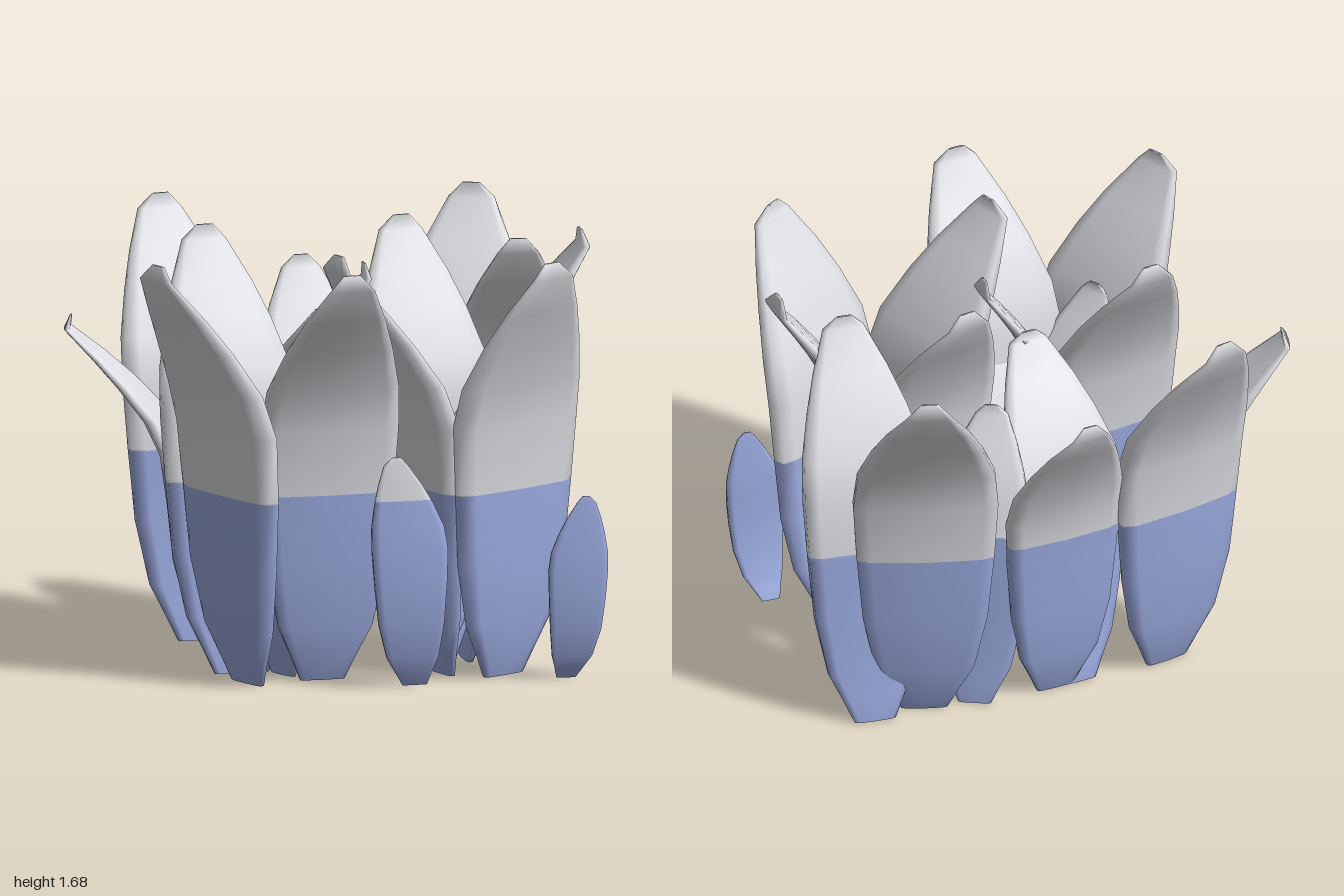
import * as THREE from 'three';
import { mergeVertices } from 'three/addons/utils/BufferGeometryUtils.js';

const SPLIT = 0.75; // height where the blue base changes to the pale tip

// profile over relative height: [u, half-width factor, lean to tip, pull to base]
const PROFILE = [
  [0, 0.32, 0, 1], [0.06, 0.48, 0, 0.75], [0.13, 0.68, 0, 0.48], [0.28, 0.86, 0, 0.17],
  [0.45, 0.95, 0, 0.03], [0.6, 1, 0.05, 0], [0.7, 0.95, 0.2, 0], [0.8, 0.77, 0.46, 0],
  [0.88, 0.58, 0.7, 0], [0.965, 0.32, 0.98, 0], [1, 0.12, 0.95, 0],
];

// cross-section of a slab with rounded faces and upright rims: [across, out]
const SECTION = [
  [-1, -0.45], [-1, 0.45], [-0.8, 0.82], [0, 1], [0.8, 0.82], [1, 0.45],
  [1, -0.45], [0.8, -0.78], [0, -0.9], [-0.8, -0.78], [-1, -0.45],
];

function sample(u) {
  let i = 1;
  while (i < PROFILE.length - 1 && PROFILE[i][0] < u) i++;
  const a = PROFILE[i - 1], b = PROFILE[i];
  const t = (u - a[0]) / (b[0] - a[0]);
  return a.map((v, k) => v + (b[k] - v) * t);
}

// a, b: ends of the widest line [x, z]; tip [x, z]; optional foot [x, z]
function makePetal(name, materials, { a, b, tip, height, foot, thick = 0.1 }) {
  const mid = [(a[0] + b[0]) / 2, (a[1] + b[1]) / 2];
  const lean = [tip[0] - mid[0], tip[1] - mid[1]];
  const base = foot || [mid[0] - 0.23 * lean[0], mid[1] - 0.23 * lean[1]];
  const pull = [base[0] - mid[0], base[1] - mid[1]];
  const width = Math.hypot(b[0] - a[0], b[1] - a[1]);
  let e = [(b[0] - a[0]) / width, (b[1] - a[1]) / width];
  if (-e[1] * lean[0] + e[0] * lean[1] < 0) e = [-e[0], -e[1]];
  const n = [-e[1], e[0]];

  // rows from the tip down, one exactly on the colour change, closed at both ends
  const us = PROFILE.map((p) => p[0]);
  const cut = SPLIT / height;
  if (cut < 1 && !us.some((u) => Math.abs(u - cut) < 1e-4)) us.push(cut);
  us.sort((p, q) => q - p);
  us.unshift(1);
  us.push(0);
  const cols = SECTION.length - 1, rows = us.length - 1;

  const plane = new THREE.PlaneGeometry(2, 2, cols, rows);
  const pos = plane.attributes.position;
  for (let i = 0; i < pos.count; i++) {
    const row = Math.floor(i / (cols + 1));
    const [, w, s, r] = sample(us[row]);
    const isCap = row === 0 || row === rows;
    const [t, out] = isCap ? [0, 0] : SECTION[i % (cols + 1)];
    const h = (t * w * width) / 2;
    const d = out * w * width * thick;
    pos.setXYZ(i,
      mid[0] + lean[0] * s + pull[0] * r + e[0] * h + n[0] * d,
      us[row] * height,
      mid[1] + lean[1] * s + pull[1] * r + e[1] * h + n[1] * d);
  }
  plane.deleteAttribute('uv');
  plane.deleteAttribute('normal');
  const geo = mergeVertices(plane, 1e-5);
  geo.computeVertexNormals();

  // pale rows above the split, blue rows below
  const paleCount = us.filter((u) => u > cut + 1e-5).length * cols * 6;
  geo.clearGroups();
  if (paleCount) geo.addGroup(0, paleCount, 0);
  geo.addGroup(paleCount, rows * cols * 6 - paleCount, 1);
  const mesh = new THREE.Mesh(geo, materials);
  mesh.name = name;
  return mesh;
}

export function createModel() {
  const pale = new THREE.MeshStandardMaterial({ color: 0xdcdde2 });
  pale.name = 'paleTip';
  const blue = new THREE.MeshStandardMaterial({ color: 0x9dade2 });
  blue.name = 'blueBase';
  const materials = [pale, blue];
  const model = new THREE.Group();
  model.name = 'petalCluster';

  const largePetals = [
    // back row
    { a: [-0.72, -0.48], b: [-0.18, -0.55], tip: [-0.5, -0.86], height: 1.68 },
    { a: [-0.2, -0.5], b: [0.27, -0.5], tip: [0.05, -0.81], height: 1.42 },
    { a: [0.32, -0.53], b: [0.84, -0.32], tip: [0.72, -0.77], height: 1.68 },
    { a: [-0.5, -0.52], b: [-0.62, -0.11], tip: [-0.99, -0.36], height: 1.32, foot: [-0.41, -0.36] },
    // middle
    { a: [-0.72, 0.13], b: [-0.18, 0.1], tip: [-0.47, -0.25], height: 1.68 },
    { a: [0.07, 0.12], b: [0.6, 0.08], tip: [0.31, -0.25], height: 1.68 },
    { a: [-0.3, -0.35], b: [0.18, -0.35], tip: [-0.05, 0], height: 1.37 },
    { a: [0.5, -0.32], b: [1.0, -0.23], tip: [0.71, 0.05], height: 1.62 },
    { a: [-0.24, -0.07], b: [-0.25, 0.34], tip: [0.1, 0.1], height: 1.57 },
    { a: [0.57, -0.13], b: [0.56, 0.42], tip: [0.94, 0.18], height: 1.68 },
    // front row
    { a: [-0.64, 0.16], b: [-0.4, 0.66], tip: [-0.84, 0.49], height: 1.68 },
    { a: [-0.42, 0.48], b: [0.12, 0.48], tip: [-0.14, 0.86], height: 1.68 },
    { a: [0.33, 0.65], b: [0.15, 0.14], tip: [-0.12, 0.47], height: 1.68 },
    { a: [0.31, 0.66], b: [0.83, 0.4], tip: [0.67, 0.8], height: 1.68 },
  ];
  const smallPetals = [
    { a: [0.16, -0.47], b: [0.5, -0.27], tip: [0.21, -0.24], height: 1.24 },
    { a: [-0.42, 0.13], b: [-0.23, 0.47], tip: [-0.54, 0.42], height: 1.2 },
    { a: [0.24, 0.36], b: [0.52, 0.14], tip: [0.5, 0.45], height: 1.2 },
    { a: [-0.27, 0.34], b: [0.04, 0.34], tip: [-0.1, 0.56], height: 1.1 },
    // low outer buds
    { a: [-0.02, 0.68], b: [0.28, 0.68], tip: [0.07, 0.681], height: 0.92, foot: [0.17, 0.58], thick: 0.07 },
    { a: [0.68, 0.66], b: [0.91, 0.68], tip: [0.83, 0.675], height: 0.73, foot: [0.77, 0.58], thick: 0.08 },
  ];
  largePetals.forEach((p, i) => model.add(makePetal(`largePetal${i + 1}`, materials, p)));
  smallPetals.forEach((p, i) => model.add(makePetal(`smallPetal${i + 1}`, materials, p)));
  return model;
}
